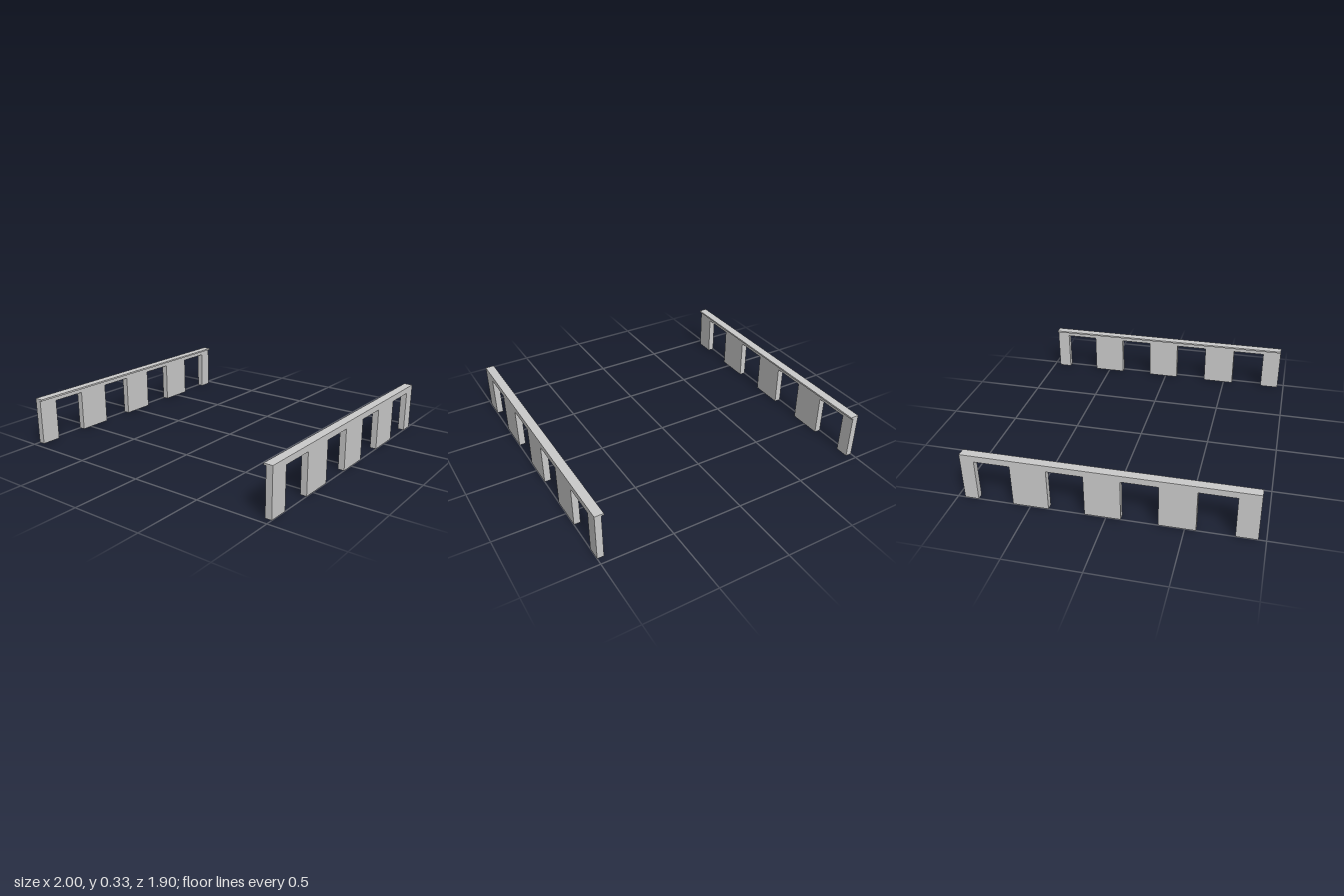
import * as THREE from 'three';

const HEIGHT = 0.333, CAP = 0.012, HALF = 0.951;
const WALL = 0.045, CAP_WIDTH = 0.062;
const OPENING_TOP = 0.29;
// front and rear z of each doorway, front to back
const OPENINGS = [[0.812, 0.571], [0.334, 0.095], [-0.14, -0.379], [-0.618, -0.857]];

const material = new THREE.MeshStandardMaterial({ color: 0xcccccc, flatShading: true });

// wall outline with doorways cut up from the floor; shape x is -z
function wallGeometry() {
  const shape = new THREE.Shape();
  shape.moveTo(-HALF, 0);
  for (const [front, rear] of OPENINGS) {
    shape.lineTo(-front, 0);
    shape.lineTo(-front, OPENING_TOP);
    shape.lineTo(-rear, OPENING_TOP);
    shape.lineTo(-rear, 0);
  }
  shape.lineTo(HALF, 0);
  shape.lineTo(HALF, HEIGHT - CAP);
  shape.lineTo(-HALF, HEIGHT - CAP);
  shape.closePath();
  const geometry = new THREE.ExtrudeGeometry(shape, { depth: WALL, bevelEnabled: false });
  geometry.translate(0, 0, -WALL / 2);
  return geometry.rotateY(Math.PI / 2);
}

export function createModel() {
  const model = new THREE.Group();
  model.name = 'pairedWalls';
  const wallShape = wallGeometry();
  const capShape = new THREE.BoxGeometry(CAP_WIDTH, CAP, HALF * 2);

  for (const [side, sign] of [['left', 1], ['right', -1]]) {
    const group = new THREE.Group();
    group.name = side + 'Side';

    // wall with doorways, flush with the outer face
    const wall = new THREE.Mesh(wallShape, material);
    wall.name = side + 'Wall';
    wall.position.x = sign * (1 - WALL / 2);

    // cap that overhangs inwards
    const cap = new THREE.Mesh(capShape, material);
    cap.name = side + 'Cap';
    cap.position.set(sign * (1 - CAP_WIDTH / 2), HEIGHT - CAP / 2, 0);

    group.add(wall, cap);
    model.add(group);
  }
  return model;
}
